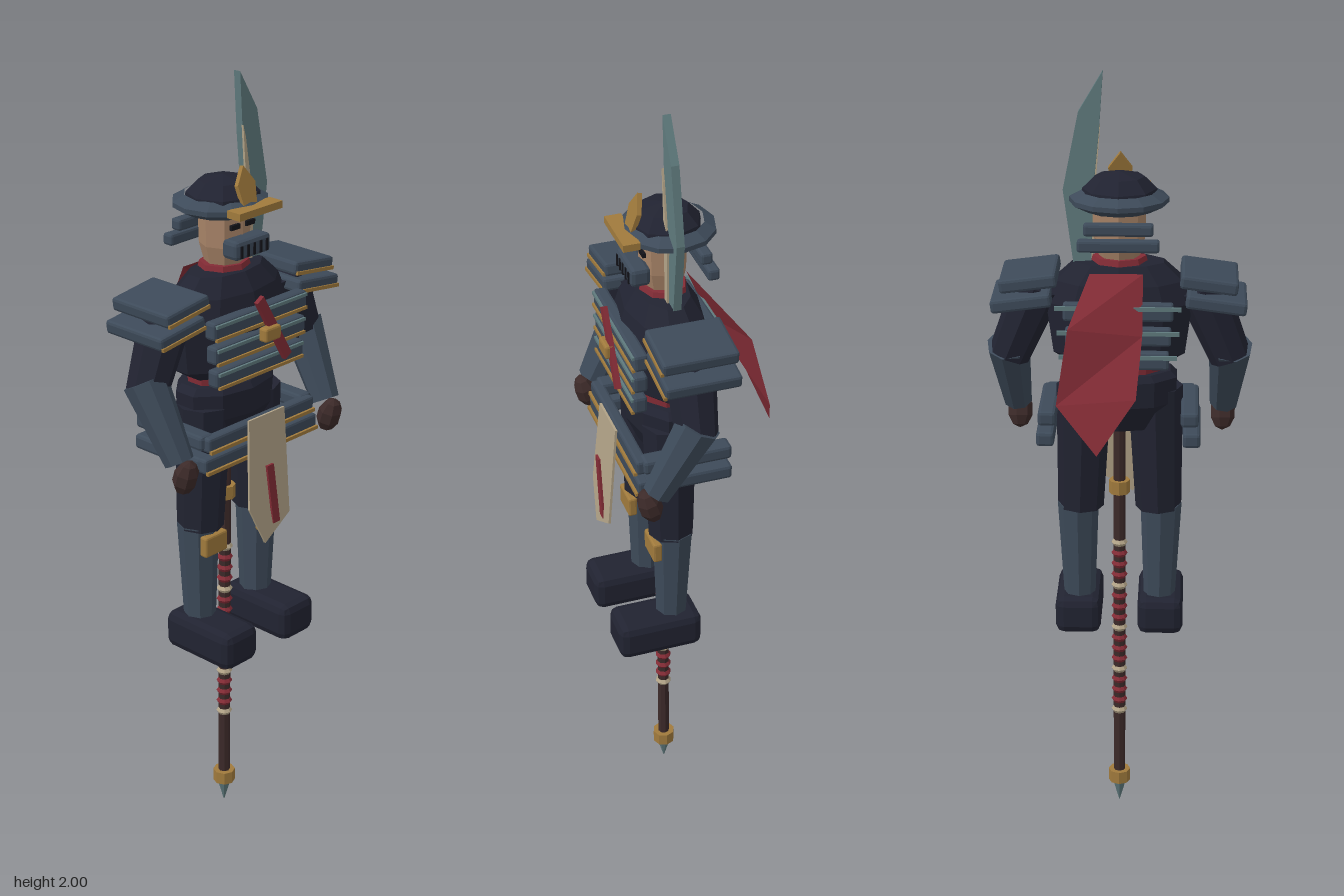
import * as THREE from 'three';
import { RoundedBoxGeometry } from 'three/addons/geometries/RoundedBoxGeometry.js';

const colours = {
  darkCloth: 0x212331, steel: 0x3d4a59, blade: 0x5f7a7d, gold: 0xa07a3c, red: 0x842c36,
  cream: 0xb3a488, skin: 0xa88468, leather: 0x3c2a29, black: 0x14141a,
};
const mats = {};

export function createModel() {
  for (const [name, color] of Object.entries(colours)) {
    mats[name] = new THREE.MeshStandardMaterial({ color, flatShading: true });
    mats[name].name = name;
  }
  mats.red.side = THREE.DoubleSide;

  const root = new THREE.Group();
  root.name = 'armouredWarrior';

  const add = (name, geo, mat, pos = [0, 0, 0], rot = [0, 0, 0]) => {
    const m = new THREE.Mesh(geo, mats[mat]);
    m.name = name;
    m.position.set(...pos);
    m.rotation.set(...rot);
    root.add(m);
    return m;
  };
  // chamfered box
  const box = (name, w, h, d, mat, pos, rot) =>
    add(name, new RoundedBoxGeometry(w, h, d, 1, Math.min(w, h, d) * 0.22), mat, pos, rot);
  const plate = (name, w, h, d, mat, pos, rot) =>
    add(name, new THREE.BoxGeometry(w, h, d), mat, pos, rot);
  // tapered limb between two points
  const limb = (name, a, b, ra, rb, mat, sides = 8) => {
    const p = new THREE.Vector3(...a), q = new THREE.Vector3(...b);
    const dir = q.clone().sub(p);
    const m = add(name, new THREE.CylinderGeometry(rb, ra, dir.length(), sides), mat);
    m.position.copy(p).add(q).multiplyScalar(0.5);
    m.quaternion.setFromUnitVectors(new THREE.Vector3(0, 1, 0), dir.normalize());
    return m;
  };
  // lathe from [radius, y] pairs running upward, squashed in depth
  const turned = (name, pts, mat, z, depth = 1, sides = 10) => {
    const g = new THREE.LatheGeometry(pts.map(p => new THREE.Vector2(...p)), sides);
    g.scale(1, 1, depth);
    return add(name, g, mat, [0, 0, z]);
  };
  // flat outline with a thickness, centred on its plane
  const cutout = (name, pts, t, mat, pos, rot) => {
    const s = new THREE.Shape(pts.map(p => new THREE.Vector2(...p)));
    const g = new THREE.ExtrudeGeometry(s, { depth: t, bevelEnabled: false });
    g.translate(0, 0, -t / 2);
    return add(name, g, mat, pos, rot);
  };

  // torso, waist and hips
  turned('torso', [[0, 1.265], [0.115, 1.265], [0.172, 1.3], [0.19, 1.43], [0.165, 1.485], [0.115, 1.53], [0, 1.535]],
    'darkCloth', 0.05, 0.56);
  turned('waistSash', [[0, 1.235], [0.112, 1.235], [0.118, 1.285], [0, 1.285]], 'red', 0.05, 0.65);
  turned('hips', [[0, 1.1], [0.1, 1.1], [0.15, 1.17], [0.152, 1.235], [0.135, 1.252], [0, 1.252]], 'darkCloth', 0.05, 0.62);

  // layered chest and back bands
  [1.43, 1.367, 1.305].forEach((y, i) => {
    const w = 0.33 - i * 0.01;
    box('chestBand', w, 0.045, 0.035, 'steel', [0, y, 0.153]);
    plate('chestBandEdge', w - 0.01, 0.008, 0.008, 'blade', [0, y + 0.014, 0.171]);
    plate('chestBandTrim', w - 0.01, 0.008, 0.008, 'gold', [0, y - 0.02, 0.171]);
    box('backBand', w - 0.06, 0.045, 0.03, 'steel', [0, y, -0.053]);
    plate('backBandEdge', w - 0.02, 0.01, 0.008, 'blade', [0, y + 0.012, -0.07]);
  });
  plate('chestSash', 0.026, 0.2, 0.012, 'red', [0.024, 1.397, 0.185], [0, 0, 0.54]);
  box('chestClasp', 0.055, 0.036, 0.026, 'gold', [0.008, 1.39, 0.19]);

  // waist guard
  [[1.147, 0.38], [1.095, 0.405]].forEach(([y, w]) => {
    box('frontWaistGuard', w, 0.038, 0.03, 'steel', [0, y, 0.162]);
    plate('frontWaistGuardTrim', w - 0.005, 0.009, 0.009, 'gold', [0, y - 0.016, 0.179]);
  });

  // limbs, mirrored
  for (const s of [1, -1]) {
    for (const [y, x] of [[1.15, 0.178], [1.095, 0.183]])
      box('sideWaistGuard', 0.045, 0.038, 0.225, 'steel', [s * x, y, 0.048]);

    limb('thigh', [s * 0.1, 0.87, 0.06], [s * 0.09, 1.2, 0.06], 0.059, 0.07, 'darkCloth');
    limb('shin', [s * 0.104, 0.6, 0.062], [s * 0.107, 0.88, 0.058], 0.04, 0.053, 'steel');
    box('kneePlate', 0.078, 0.055, 0.024, 'gold', [s * 0.102, 0.835, 0.108]);
    box('foot', 0.118, 0.1, 0.222, 'darkCloth', [s * 0.107, 0.575, 0.106]);

    limb('upperArm', [s * 0.2, 1.47, 0.05], [s * 0.278, 1.28, 0.055], 0.065, 0.052, 'darkCloth');
    limb('forearm', [s * 0.278, 1.31, 0.05], [s * 0.265, 1.125, 0.15], 0.056, 0.037, 'steel');
    const hand = add('hand', new THREE.SphereGeometry(0.034, 7, 5), 'leather', [s * 0.262, 1.09, 0.168], [0.3, 0, 0]);
    hand.scale.set(1, 1.4, 0.9);

    // two tilted shoulder plates
    [[0.222, 1.493, 0.142], [0.24, 1.442, 0.15]].forEach(([x, y, w]) => {
      const tilt = -s * 0.13;
      box('shoulderPlate', w, 0.034, 0.188, 'steel', [s * x, y, 0.049], [0, 0, tilt]);
      plate('shoulderTrim', w - 0.006, 0.009, 0.008, 'gold', [s * x, y - 0.011, 0.143], [0, 0, tilt]);
    });

    plate('eye', 0.03, 0.012, 0.008, 'black', [s * 0.026, 1.645, 0.104]);
  }

  // head and mask
  turned('collar', [[0, 1.51], [0.075, 1.51], [0.066, 1.545], [0, 1.545]], 'red', 0.045, 0.85, 8);
  turned('head', [[0, 1.535], [0.048, 1.535], [0.063, 1.59], [0.066, 1.68], [0, 1.7]], 'skin', 0.045, 0.95, 8);
  box('faceMask', 0.122, 0.048, 0.05, 'steel', [0, 1.597, 0.118]);
  for (let i = -2; i <= 2; i++) plate('maskSlot', 0.007, 0.03, 0.006, 'black', [i * 0.022, 1.595, 0.143]);

  // helmet
  turned('helmetBrim', [[0, 1.665], [0.085, 1.665], [0.122, 1.684], [0.122, 1.696], [0.092, 1.712]], 'steel', 0.032, 0.94, 12);
  turned('helmetDome', [[0.096, 1.695], [0.092, 1.715], [0.062, 1.745], [0, 1.757]], 'darkCloth', 0.04, 0.94, 8);
  plate('visor', 0.148, 0.018, 0.042, 'gold', [0, 1.692, 0.144]);
  cutout('helmetCrest', [[-0.022, 0], [0.022, 0], [0.03, 0.055], [0, 0.098], [-0.03, 0.055]], 0.012,
    'gold', [0, 1.695, 0.126], [-0.27, 0, 0]);
  box('neckGuard', 0.17, 0.03, 0.03, 'steel', [0, 1.632, -0.037]);
  box('neckGuard', 0.2, 0.03, 0.03, 'steel', [0, 1.595, -0.05]);

  // hanging front cloth with a red mark
  cutout('frontCloth', [[-0.065, 0], [-0.08, -0.23], [-0.03, -0.335], [0.063, -0.28], [0.063, 0]], 0.006,
    'cream', [0, 1.18, 0.188], [-0.08, 0, 0]);
  cutout('clothMark', [[-0.026, 1.055], [-0.002, 1.055], [0.024, 0.89], [0, 0.89]], 0.006, 'red', [0, 0, 0.214]);

  // cape: rows of left and right edge points ending in a tip
  const cape = new THREE.BufferGeometry();
  cape.setAttribute('position', new THREE.Float32BufferAttribute([
    -0.06, 1.52, -0.035, 0.07, 1.52, -0.035,
    -0.06, 1.38, -0.095, 0.12, 1.41, -0.14,
    -0.047, 1.245, -0.175, 0.147, 1.23, -0.18,
    0.047, 1.115, -0.22], 3));
  cape.setIndex([0, 1, 3, 0, 3, 2, 2, 3, 5, 2, 5, 4, 4, 5, 6]);
  cape.computeVertexNormals();
  add('cape', cape, 'red');

  // polearm behind the legs
  const z = 0.05;
  const ring = (name, y0, y1, r0, r1, mat) => limb(name, [0, y0, z], [0, y1, z], r0, r1, mat);
  ring('poleShaft', 0.06, 1.5, 0.0155, 0.0155, 'leather');
  ring('poleTip', 0, 0.065, 0.001, 0.019, 'blade');
  ring('poleFoot', 0.062, 0.096, 0.029, 0.029, 'gold');
  ring('poleCollar', 0.91, 0.945, 0.027, 0.027, 'gold');
  for (let i = 0; i < 17; i++) {
    const y = 0.28 + i * 0.0306;
    const bead = add('gripWrap', new THREE.SphereGeometry(0.021, 8, 4), i % 4 ? 'red' : 'cream', [0, y, z]);
    bead.scale.y = 0.65;
  }
  cutout('poleBlade', [[0.04, 2], [0.05, 1.85], [0.065, 1.7], [0.07, 1.5], [0.11, 1.5], [0.138, 1.71], [0.1, 1.9]],
    0.02, 'blade', [0, 0, 0.047]);
  cutout('bladeEdge', [[0.047, 1.87], [0.056, 1.84], [0.085, 1.67], [0.083, 1.52], [0.065, 1.52], [0.06, 1.7]],
    0.006, 'cream', [0, 0, 0.059]);

  return root;
}
